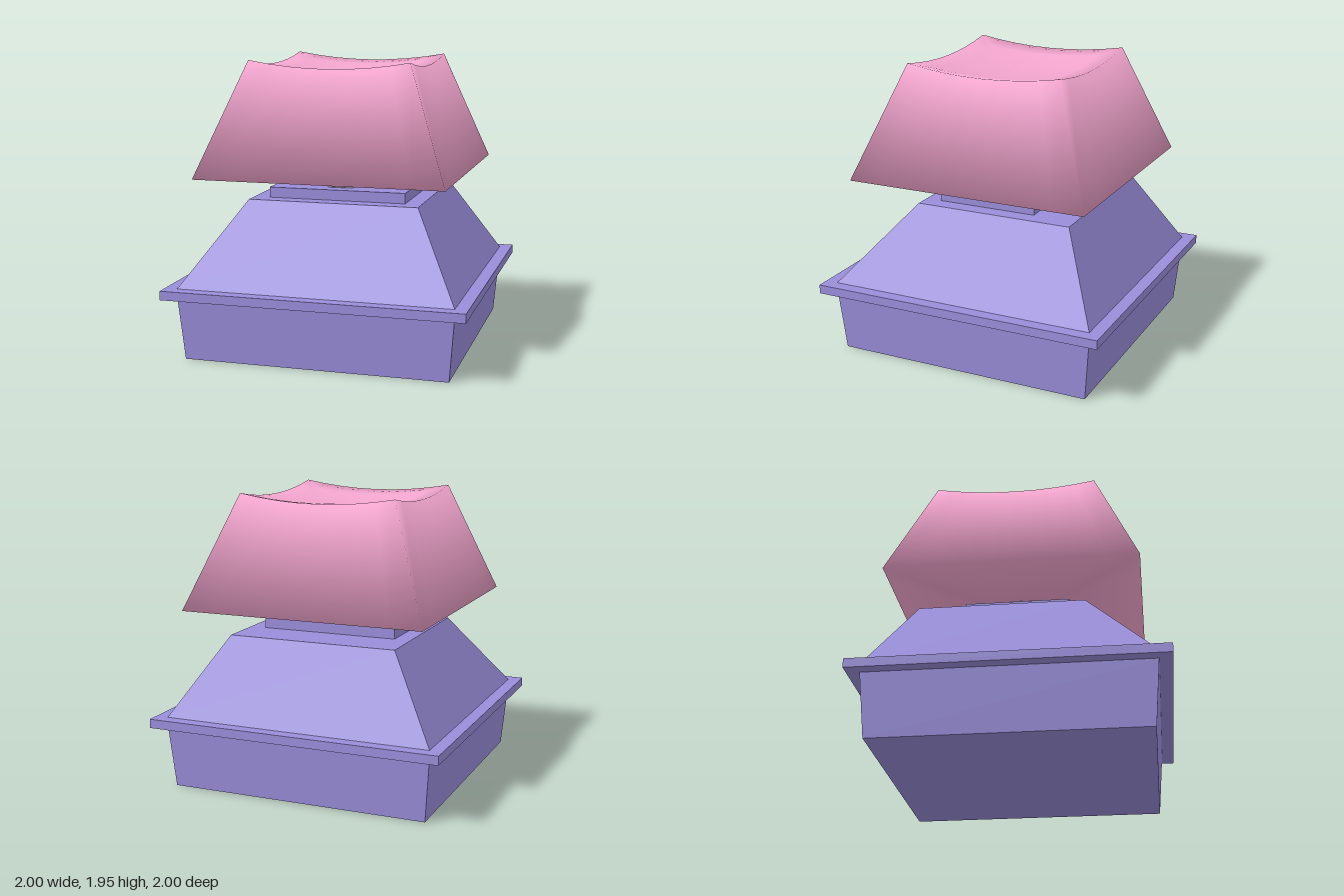
import * as THREE from 'three';

const PURPLE = 0x9a8edb, PINK = 0xf4a6cf, GREY = 0xcccccc;
const SIDE = 8; // points along each side of a square loop

function part(name, geometry, color) {
  const mesh = new THREE.Mesh(geometry, new THREE.MeshStandardMaterial({ color }));
  mesh.name = name;
  return mesh;
}

// Flat-sided block whose top rectangle differs from its square bottom
function taperedBlock(name, half, y0, y1, top) {
  const g = new THREE.BoxGeometry(2, y1 - y0, 2).toNonIndexed();
  const p = g.attributes.position;
  for (let i = 0; i < p.count; i++) {
    const up = p.getY(i) > 0;
    const x = p.getX(i), z = p.getZ(i);
    p.setX(i, x * (up ? top.x : half));
    p.setZ(i, up ? (z > 0 ? top.front : top.back) : z * half);
  }
  g.translate(0, (y0 + y1) / 2, 0);
  g.computeVertexNormals();
  return part(name, g, PURPLE);
}

// One turn around the square with half-size 1, counter-clockwise from above
function squareLoop() {
  const loop = [];
  for (let s = 0; s < 4; s++) {
    for (let k = 0; k < SIDE; k++) {
      let x = 1, z = 1 - (2 * k) / SIDE;
      for (let r = 0; r < s; r++) [x, z] = [z, -x];
      loop.push([x, z]);
    }
  }
  return loop;
}

// Closed, fully smooth cap: underside, sloping walls and a dished top
function createCap() {
  const topHalf = 0.54, sag = 0.05;
  // Rings from the underside's centre to the top's: [half-size, y, dish amount]
  const rings = [[0, 1.19, 0], [0.83, 1.19, 0]];
  for (let i = 0; i <= 4; i++) rings.push([topHalf * (1 - i / 4), 1.895, sag]);

  const loop = squareLoop(), n = loop.length;
  const points = [], index = [];
  for (const [h, y, dish] of rings) {
    for (const [u, v] of loop) {
      const r = h / topHalf;
      points.push(new THREE.Vector3(u * h, y + dish * ((u * u + v * v) * r * r - 1), v * h));
    }
  }

  // Every quad counts equally in the normals of its corners
  const normals = points.map(() => new THREE.Vector3());
  for (let i = 0; i < rings.length - 1; i++) {
    for (let j = 0; j < n; j++) {
      const a = i * n + j, b = i * n + ((j + 1) % n), c = b + n, d = a + n;
      index.push(a, b, c, a, c, d);
      const across = points[c].clone().sub(points[a]);
      const normal = across.cross(points[d].clone().sub(points[b])).normalize();
      for (const k of [a, b, c, d]) normals[k].add(normal);
    }
  }
  normals.forEach((v) => v.normalize());

  const g = new THREE.BufferGeometry().setFromPoints(points);
  g.setAttribute('normal', new THREE.Float32BufferAttribute(normals.flatMap((v) => v.toArray()), 3));
  g.setIndex(index);
  return part('cap', g, PINK);
}

// Plus-shaped post with softened edges
function createStem() {
  const w = 0.08, r = 0.25, outline = [];
  for (let s = 0; s < 4; s++) {
    for (let [x, y] of [[r, -w], [r, w], [w, w]]) {
      for (let k = 0; k < s; k++) [x, y] = [-y, x];
      outline.push(new THREE.Vector2(x, y));
    }
  }
  const g = new THREE.ExtrudeGeometry(new THREE.Shape(outline), {
    depth: 0.16, bevelEnabled: true, bevelSize: 0.01, bevelThickness: 0.01, bevelSegments: 2,
  });
  g.rotateX(-Math.PI / 2);
  g.translate(0, 1.09, 0);
  return part('stem', g, GREY);
}

export function createModel() {
  const model = new THREE.Group();
  model.name = 'keySwitch';

  // Housing
  model.add(taperedBlock('lowerHousing', 0.88, 0, 0.42, { x: 0.915, front: 0.915, back: -0.915 }));
  const flange = part('flange', new THREE.BoxGeometry(2, 0.06, 2), PURPLE);
  flange.position.y = 0.45;
  model.add(flange);
  model.add(taperedBlock('upperHousing', 0.915, 0.48, 1.01, { x: 0.58, front: 0.46, back: -0.63 }));
  const collar = part('collar', new THREE.BoxGeometry(0.94, 0.07, 0.685), PURPLE);
  collar.position.set(0, 1.045, 0.0075);
  model.add(collar);

  // Moving parts
  model.add(createStem());
  model.add(createCap());
  return model;
}
